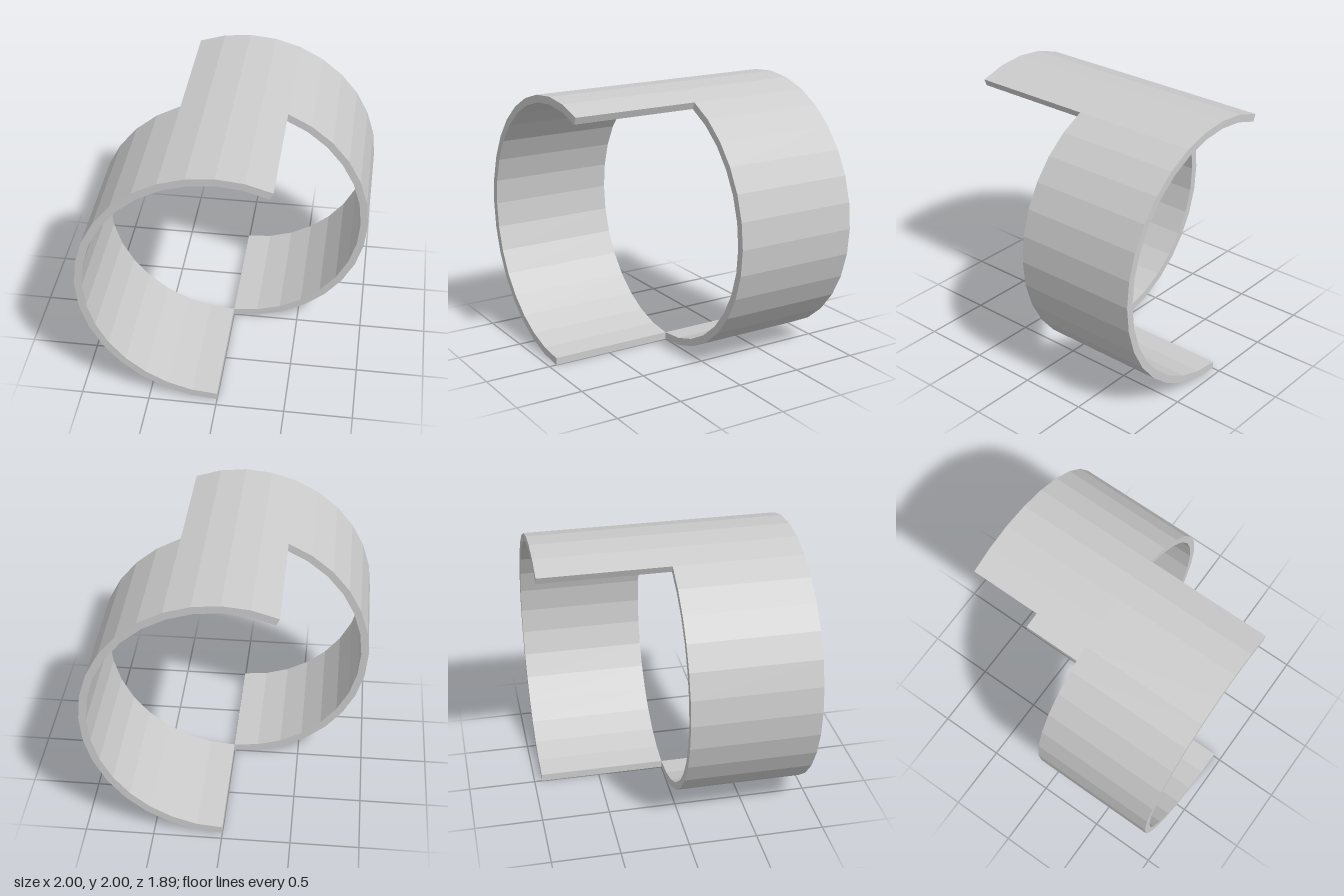
import * as THREE from 'three';

const OUTER = 1, INNER = 0.945, DEPTH = 0.943;
const STEP = Math.PI / 16; // 32-sided ring

// Arc cross-section: from two steps right of the top, over the left side, to the bottom
function arcShape() {
  const outer = [], inner = [];
  for (let i = 2; i >= -16; i--) {
    const s = Math.sin(i * STEP), c = Math.cos(i * STEP);
    outer.push(new THREE.Vector2(OUTER * s, OUTER * c));
    inner.unshift(new THREE.Vector2(INNER * s, INNER * c));
  }
  return new THREE.Shape([...outer, ...inner]);
}

export function createModel() {
  const group = new THREE.Group();
  group.name = 'splitRing';
  const material = new THREE.MeshStandardMaterial({ color: 0xcccccc, flatShading: true });
  const geometry = new THREE.ExtrudeGeometry(arcShape(), { depth: DEPTH, bevelEnabled: false });

  // The rear band is the front band turned half a turn about the vertical axis
  ['frontBand', 'rearBand'].forEach((name, i) => {
    const band = new THREE.Mesh(geometry, material);
    band.name = name;
    band.position.y = OUTER;
    band.rotation.y = i * Math.PI;
    group.add(band);
  });
  return group;
}
